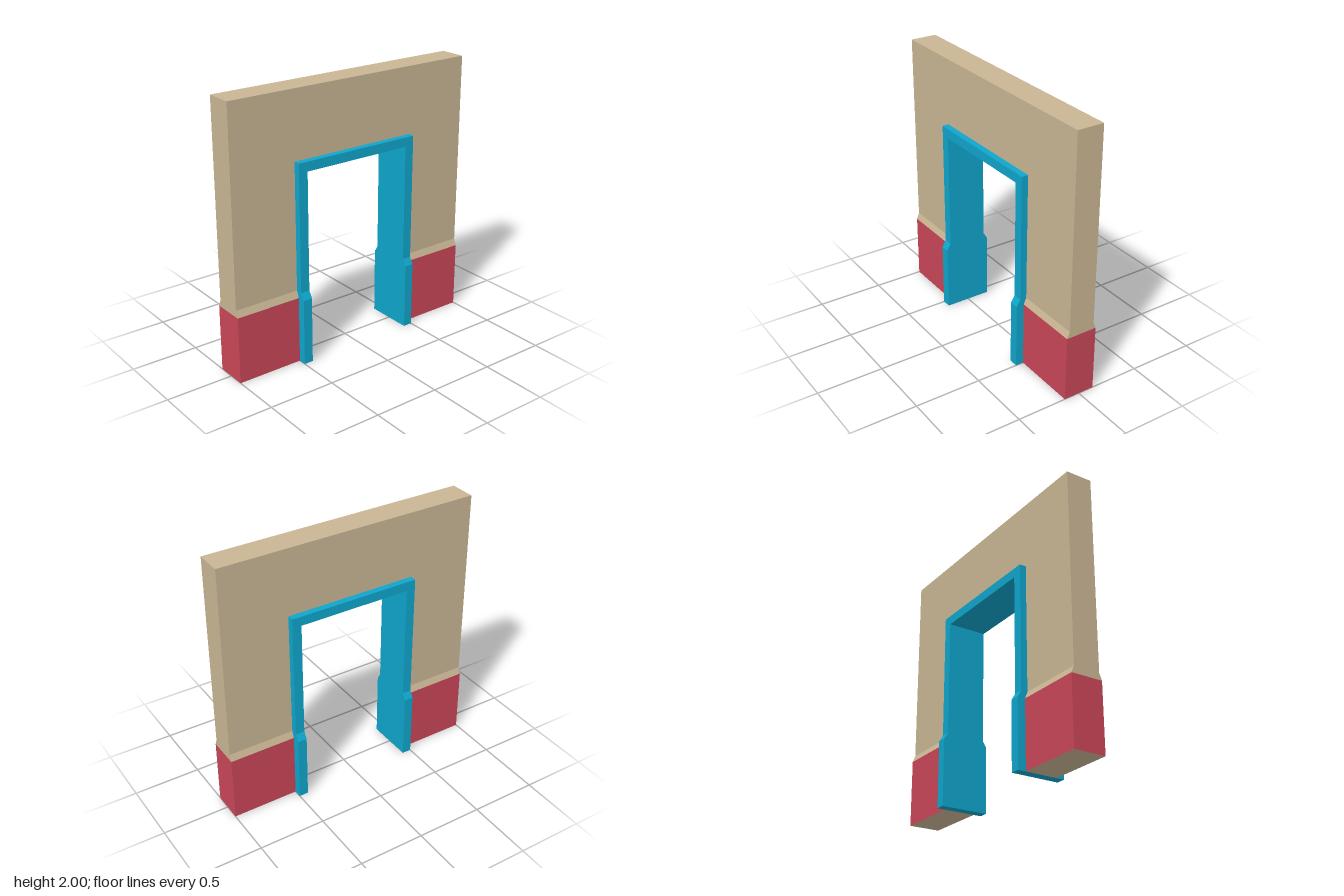
import * as THREE from 'three';

// Extrudes a profile of [half depth, height] points, mirrored in z, from x0 to x1.
function profileAlongX(points, x0, x1) {
  const right = points.map(([d, y]) => new THREE.Vector2(d, y));
  const left = points.map(([d, y]) => new THREE.Vector2(-d, y)).reverse();
  const geometry = new THREE.ExtrudeGeometry(new THREE.Shape([...right, ...left]), {
    depth: x1 - x0,
    bevelEnabled: false,
  });
  return geometry.rotateY(Math.PI / 2).translate(x0, 0, 0);
}

export function createModel() {
  const tan = new THREE.MeshStandardMaterial({ name: 'tan plaster', color: 0xc8b593 });
  const red = new THREE.MeshStandardMaterial({ name: 'red base', color: 0xc94657 });
  const blue = new THREE.MeshStandardMaterial({ name: 'blue trim', color: 0x0fa5cb });

  const group = new THREE.Group();
  group.name = 'doorwayWall';
  const add = (name, geometry, material) => {
    const mesh = new THREE.Mesh(geometry, material);
    mesh.name = name;
    group.add(mesh);
  };

  const opening = 0.5; // outer half width of the frame
  const inner = 0.43; // clear half width of the doorway
  const baseTop = 0.5;
  const taperTop = 0.55;

  // Upper wall: an upside-down U around the doorway
  const wall = new THREE.Shape([
    [-1, taperTop], [-opening, taperTop], [-opening, 1.5], [opening, 1.5],
    [opening, taperTop], [1, taperTop], [1, 2], [-1, 2],
  ].map(([x, y]) => new THREE.Vector2(x, y)));
  add('upperWall', new THREE.ExtrudeGeometry(wall, { depth: 0.2, bevelEnabled: false }).translate(0, 0, -0.1), tan);

  for (const [side, s] of [['left', 1], ['right', -1]]) {
    const span = (a, b) => (s > 0 ? [a, b] : [-b, -a]);

    // Thicker base with a plaster underside, and the slope above it
    const base = new THREE.BoxGeometry(0.5, baseTop, 0.24).translate(s * 0.75, baseTop / 2, 0);
    add(`${side}Base`, base, [red, red, red, tan, red, red]);
    add(`${side}BaseSlope`, profileAlongX([[0.12, baseTop], [0.1, taperTop]], ...span(opening, 1)), tan);

    // Door jamb, stepping out around the base
    const jamb = [[0.18, 0], [0.18, baseTop], [0.15, taperTop], [0.15, 1.5]];
    add(`${side}Jamb`, profileAlongX(jamb, ...span(inner, opening)), blue);
  }

  // Header of the door frame
  add('frameHeader', new THREE.BoxGeometry(inner * 2, 0.07, 0.3).translate(0, 1.465, 0), blue);

  return group;
}
